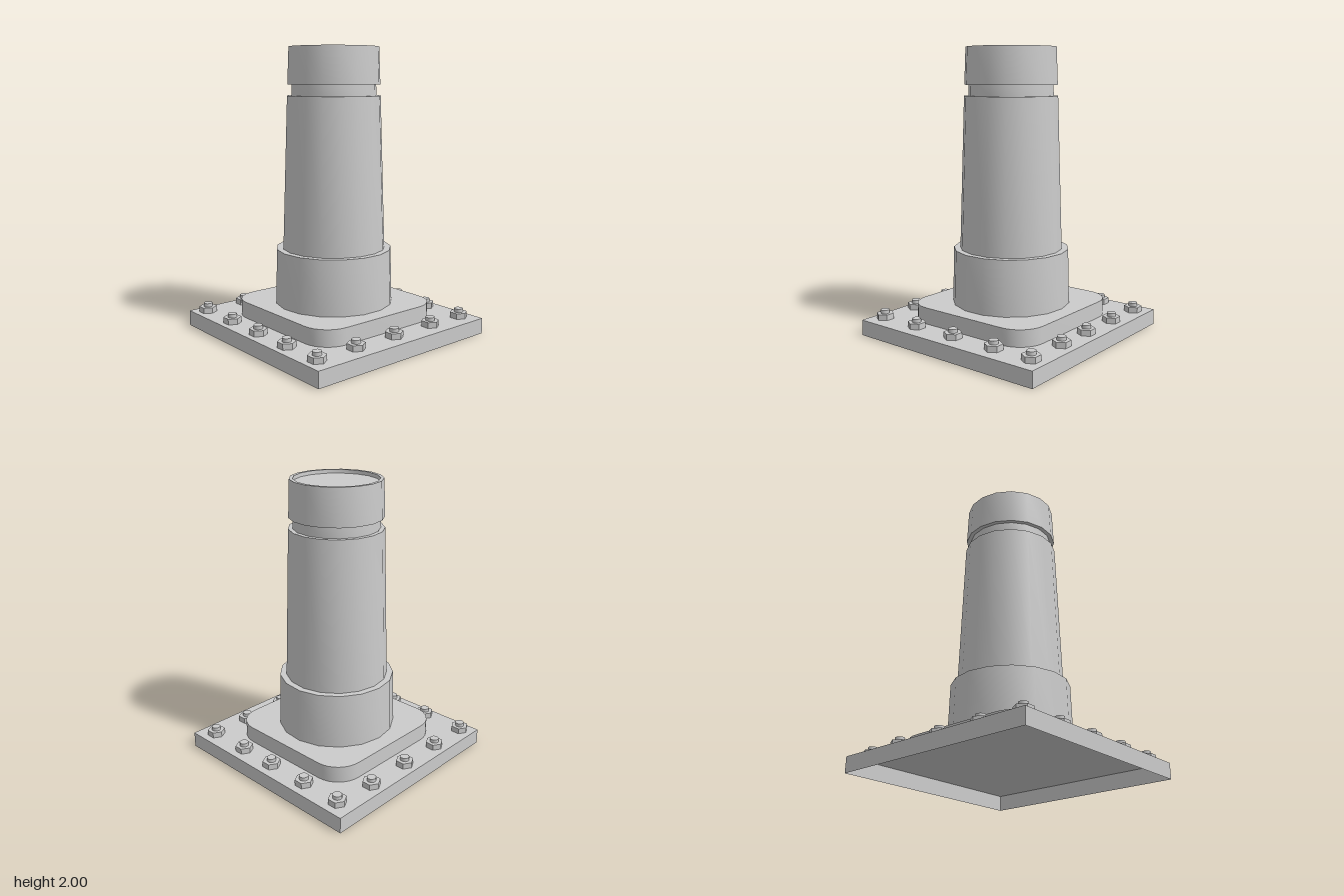
import * as THREE from 'three';
import { toCreasedNormals } from 'three/addons/utils/BufferGeometryUtils.js';

const PLATE_HALF = 0.745, PLATE_TOP = 0.11;

export function createModel() {
  const model = new THREE.Group();
  model.name = 'boltedColumn';
  const grey = new THREE.MeshStandardMaterial({ color: 0xcccccc });
  const thinGrey = new THREE.MeshStandardMaterial({ color: 0xcccccc, side: THREE.DoubleSide });

  const add = (name, geometry, material = grey, parent = model) => {
    const mesh = new THREE.Mesh(geometry, material);
    mesh.name = name;
    parent.add(mesh);
    return mesh;
  };

  // Base plate: a thin shell, open underneath
  const plate = new THREE.BoxGeometry(PLATE_HALF * 2, PLATE_TOP, PLATE_HALF * 2);
  const index = Array.from(plate.index.array);
  index.splice(18, 6);
  plate.setIndex(index);
  plate.clearGroups();
  add('basePlate', plate, thinGrey).position.y = PLATE_TOP / 2;

  // Plinth: square with rounded corners
  const h = 0.525, r = 0.19, s = h - r;
  const outline = new THREE.Shape();
  outline.absarc(s, s, r, 0, Math.PI / 2);
  outline.absarc(-s, s, r, Math.PI / 2, Math.PI);
  outline.absarc(-s, -s, r, Math.PI, Math.PI * 1.5);
  outline.absarc(s, -s, r, Math.PI * 1.5, Math.PI * 2);
  const plinth = new THREE.ExtrudeGeometry(outline, { depth: 0.115, bevelEnabled: false, curveSegments: 4 });
  plinth.rotateX(-Math.PI / 2);
  add('plinth', toCreasedNormals(plinth, 0.6)).position.y = PLATE_TOP;

  // Column parts: 17-sided turned profiles, [radius, height] from bottom to top
  const turned = (name, profile) => {
    const points = profile.map(([x, y]) => new THREE.Vector2(x, y));
    const lathe = new THREE.LatheGeometry(points, 17, Math.PI);
    add(name, toCreasedNormals(lathe, 0.6));
  };
  turned('collar', [[0.415, 0.225], [0.405, 0.61], [0.36, 0.61]]);
  turned('shaft', [[0.36, 0.61], [0.325, 1.67], [0.295, 1.67]]);
  turned('neck', [[0.295, 1.67], [0.293, 1.745]]);
  turned('cap', [[0.293, 1.745], [0.322, 1.745], [0.312, 2], [0.288, 2], [0.286, 1.975], [0, 1.975]]);

  // Bolts around the plate edge: a hexagonal nut with a round stud
  const nutGeometry = new THREE.CylinderGeometry(0.062, 0.062, 0.04, 6).toNonIndexed();
  nutGeometry.computeVertexNormals();
  const studGeometry = new THREE.CylinderGeometry(0.031, 0.031, 0.025, 16);
  const spots = [];
  [-0.645, -0.32, -0.005, 0.31, 0.615].forEach((z) => spots.push([-0.65, z]));
  [-0.62, -0.315, 0.005, 0.295, 0.615].forEach((z) => spots.push([0.64, z]));
  [-0.335, 0, 0.345].forEach((x) => spots.push([x, -0.648], [x, 0.615]));
  for (const [x, z] of spots) {
    const bolt = new THREE.Group();
    bolt.name = 'bolt';
    bolt.position.set(x, PLATE_TOP, z);
    add('nut', nutGeometry, grey, bolt).position.y = 0.02;
    add('stud', studGeometry, grey, bolt).position.y = 0.0525;
    model.add(bolt);
  }
  return model;
}
